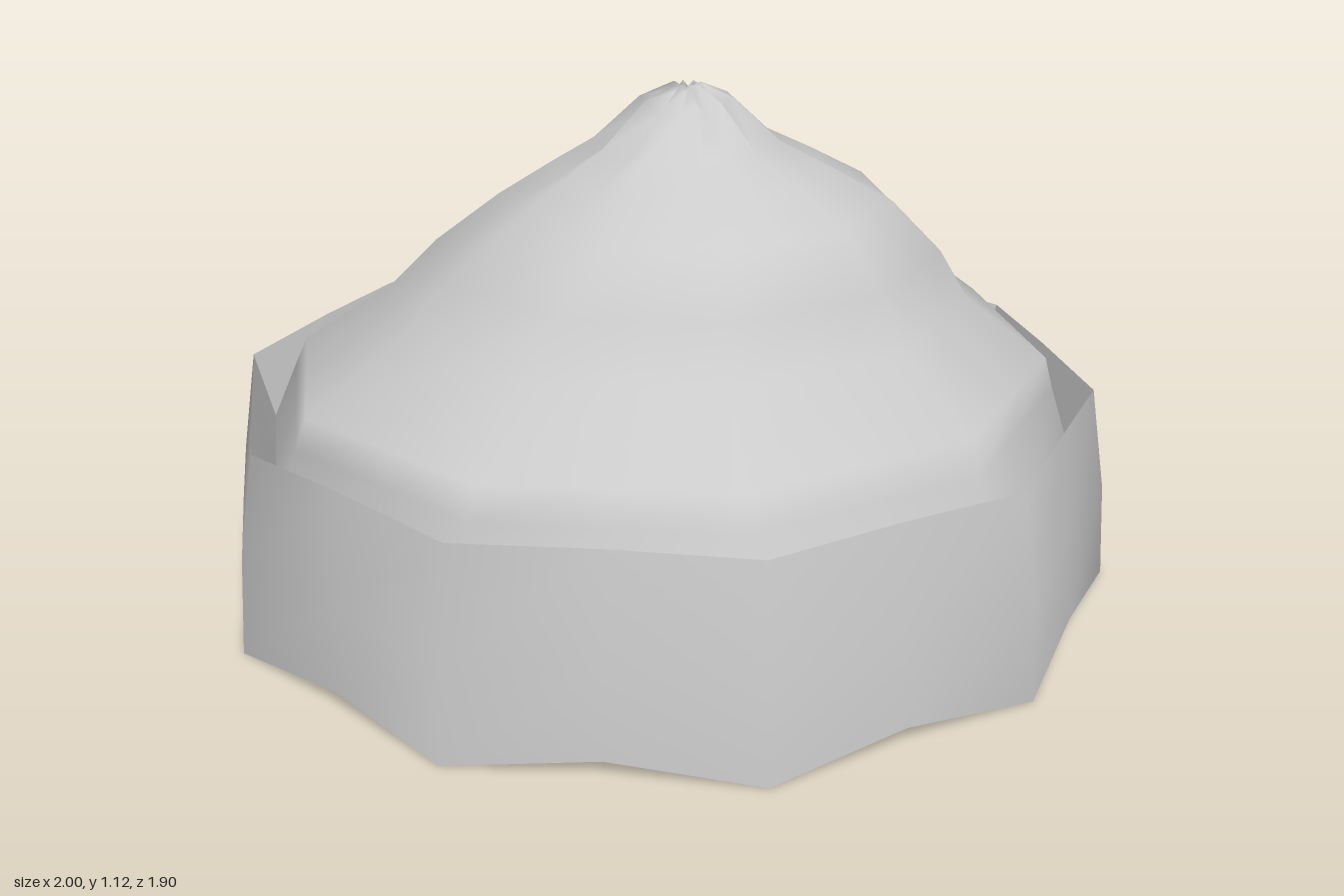
import * as THREE from 'three';

const CORNERS = 10;
const COLS = CORNERS * 2; // corner and edge-middle columns alternate
const MID = Math.cos(Math.PI / CORNERS);

const material = new THREE.MeshStandardMaterial({ color: 0xcccccc, side: THREE.DoubleSide });

// Surface through closed rings listed from bottom to top (outward facing).
// ring: r radius, y height, z centre offset, sz depth scale,
//       mid radius factor of edge middles, lift height offset of edge middles
function ringSurface(rings, flat = false) {
  const pos = [], index = [];
  for (const { r, y, z = 0, sz = 1, mid = MID, lift = 0 } of rings) {
    for (let i = 0; i < COLS; i++) {
      const a = (i / COLS) * Math.PI * 2;
      const odd = i % 2 === 1;
      const rad = odd ? r * mid : r;
      pos.push(rad * Math.cos(a), y + (odd ? lift : 0), z + rad * Math.sin(a) * sz);
    }
  }
  for (let k = 0; k < rings.length - 1; k++) {
    for (let i = 0; i < COLS; i++) {
      const j = (i + 1) % COLS;
      const a = k * COLS + i, b = k * COLS + j, c = a + COLS, d = b + COLS;
      index.push(a, c, b, b, c, d);
    }
  }
  let g = new THREE.BufferGeometry();
  g.setAttribute('position', new THREE.Float32BufferAttribute(pos, 3));
  g.setIndex(index);
  if (flat) g = g.toNonIndexed();
  g.computeVertexNormals();
  return g;
}

export function createModel() {
  const group = new THREE.Group();
  group.name = 'knittedHat';
  const add = (name, rings, flat) => {
    const mesh = new THREE.Mesh(ringSurface(rings, flat), material);
    mesh.name = name;
    group.add(mesh);
  };

  // Rings shared by the folded brim and the crown
  const hem = { r: 1, y: 0, lift: 0.033 };
  const rim = { r: 0.952, y: 0.44, lift: 0.005 };
  const innerHem = { r: 0.94, y: 0.07, lift: 0.02 };
  const seam = { r: 0.91, y: 0.29 };

  // Folded brim: outer wall, turned edges and lining
  add('brimOuterWall', [hem, { r: 0.988, y: 0.21, lift: 0.01 }, rim]);
  add('brimTopFold', [rim, seam], true);
  add('brimBottomFold', [innerHem, hem], true);
  add('brimLining', [seam, innerHem]);

  // Crown: leans forward, gathered into pleats towards the tip
  add('crown', [
    seam,
    { r: 0.865, y: 0.44, z: 0.02, sz: 0.95 },
    { r: 0.845, y: 0.51, z: 0.035, sz: 0.925 },
    { r: 0.65, y: 0.65, z: 0.06, sz: 0.91 },
    { r: 0.56, y: 0.765, z: 0.1, sz: 0.91 },
    { r: 0.43, y: 0.88, z: 0.135, sz: 0.91, mid: 0.93 },
    { r: 0.3, y: 0.95, z: 0.12, sz: 0.94, mid: 0.89, lift: -0.005 },
    { r: 0.2, y: 1.0, z: 0.1, sz: 0.93, mid: 0.82, lift: -0.01 },
    { r: 0.1, y: 1.09, z: 0.1, sz: 0.95, mid: 0.78, lift: -0.025 },
    { r: 0.035, y: 1.118, z: 0.1, mid: 0.8, lift: -0.012 },
    { r: 0, y: 1.108, z: 0.1 },
  ]);
  return group;
}
